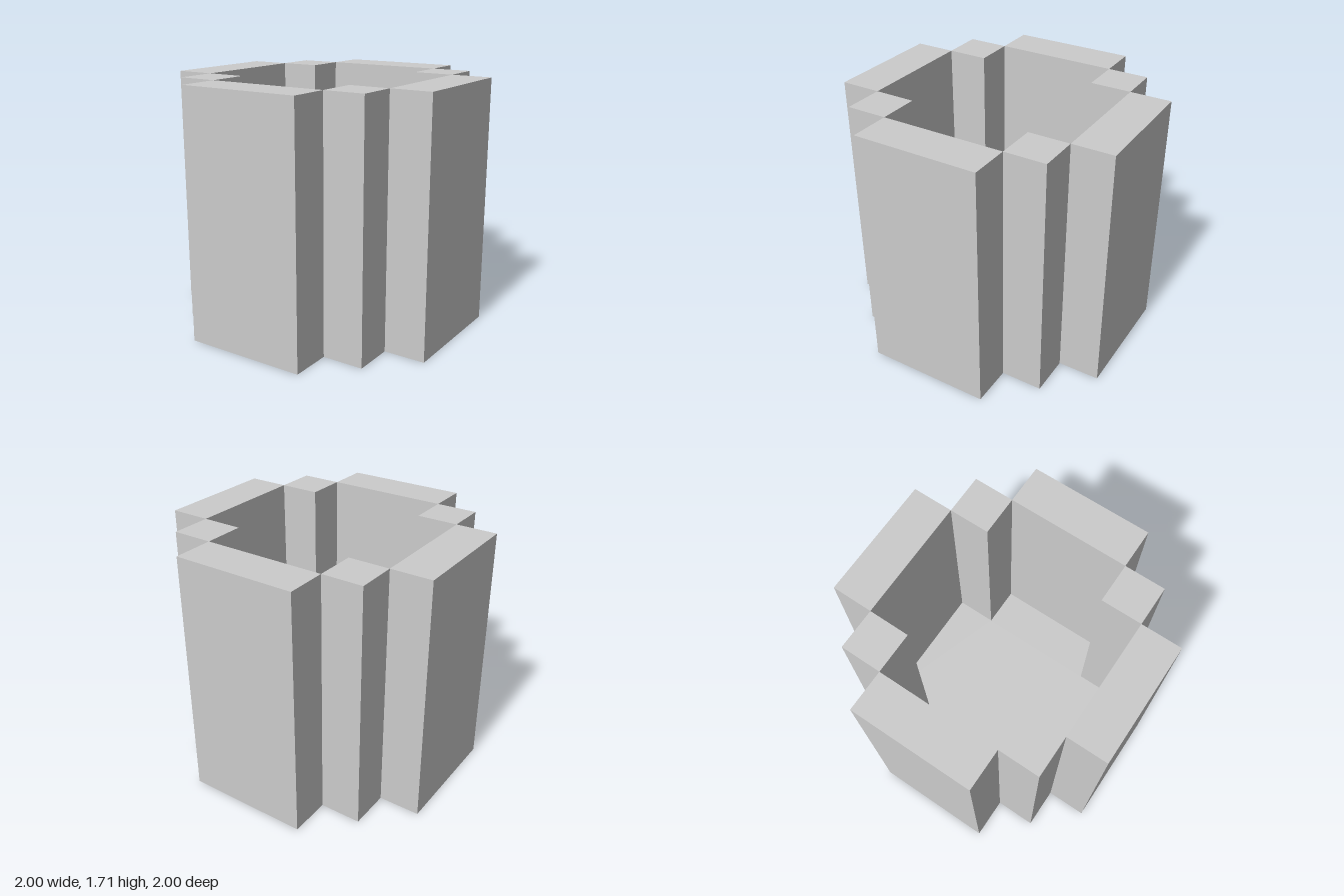
import * as THREE from 'three';
import { mergeGeometries } from 'three/addons/utils/BufferGeometryUtils.js';

// Everything sits on a grid of seven equal blocks per side
const U = 2 / 7, A = 1.5 * U, B = 2.5 * U, C = 3.5 * U;
const HEIGHT = 6 * U, FLOOR = U;

// Repeat a quarter outline four times around the y axis; points are [x, z]
function ring(quarter) {
  const points = [];
  for (let k = 0; k < 4; k++) {
    for (let [x, z] of quarter) {
      for (let i = 0; i < k; i++) [x, z] = [-z, x];
      points.push([x, z]);
    }
  }
  return points;
}

// Upright panels along a closed outline, facing outward (side 1) or inward (side -1)
function walls(points, y0, y1, side) {
  return mergeGeometries(points.map(([x, z], i) => {
    const [x2, z2] = points[(i + 1) % points.length];
    const dx = x2 - x, dz = z2 - z;
    return new THREE.PlaneGeometry(Math.hypot(dx, dz), y1 - y0)
      .rotateY(Math.atan2(side * dz, -side * dx))
      .translate((x + x2) / 2, (y0 + y1) / 2, (z + z2) / 2);
  }));
}

// Flat horizontal face filling an outline, facing up (1) or down (-1)
function slab(points, y, facing) {
  const shape = new THREE.Shape(points.map(([x, z]) => new THREE.Vector2(x, -facing * z)));
  return new THREE.ShapeGeometry(shape).rotateX(-facing * Math.PI / 2).translate(0, y, 0);
}

export function createModel() {
  const group = new THREE.Group();
  group.name = 'blockPot';
  const material = new THREE.MeshStandardMaterial({ color: 0xcccccc, flatShading: true });
  const add = (name, geometry) => {
    const mesh = new THREE.Mesh(geometry, material);
    mesh.name = name;
    group.add(mesh);
  };

  const outer = ring([[C, A], [B, A], [B, B], [A, B], [A, C]]);
  const inner = ring([[B, A], [A, A], [A, B]]);

  add('outerWall', walls(outer, 0, HEIGHT, 1));
  add('innerWall', walls(inner, FLOOR, HEIGHT, -1));
  add('base', slab(outer, 0, -1));
  add('innerFloor', slab(inner, FLOOR, 1));

  // Rim: a long top and a corner top on each of the four sides
  const rim = [];
  for (let k = 0; k < 4; k++) {
    const turn = k * Math.PI / 2;
    rim.push(
      new THREE.PlaneGeometry(U, 3 * U).rotateX(-Math.PI / 2).translate(3 * U, HEIGHT, 0).rotateY(turn),
      new THREE.PlaneGeometry(U, U).rotateX(-Math.PI / 2).translate(2 * U, HEIGHT, 2 * U).rotateY(turn),
    );
  }
  add('rim', mergeGeometries(rim));
  return group;
}
